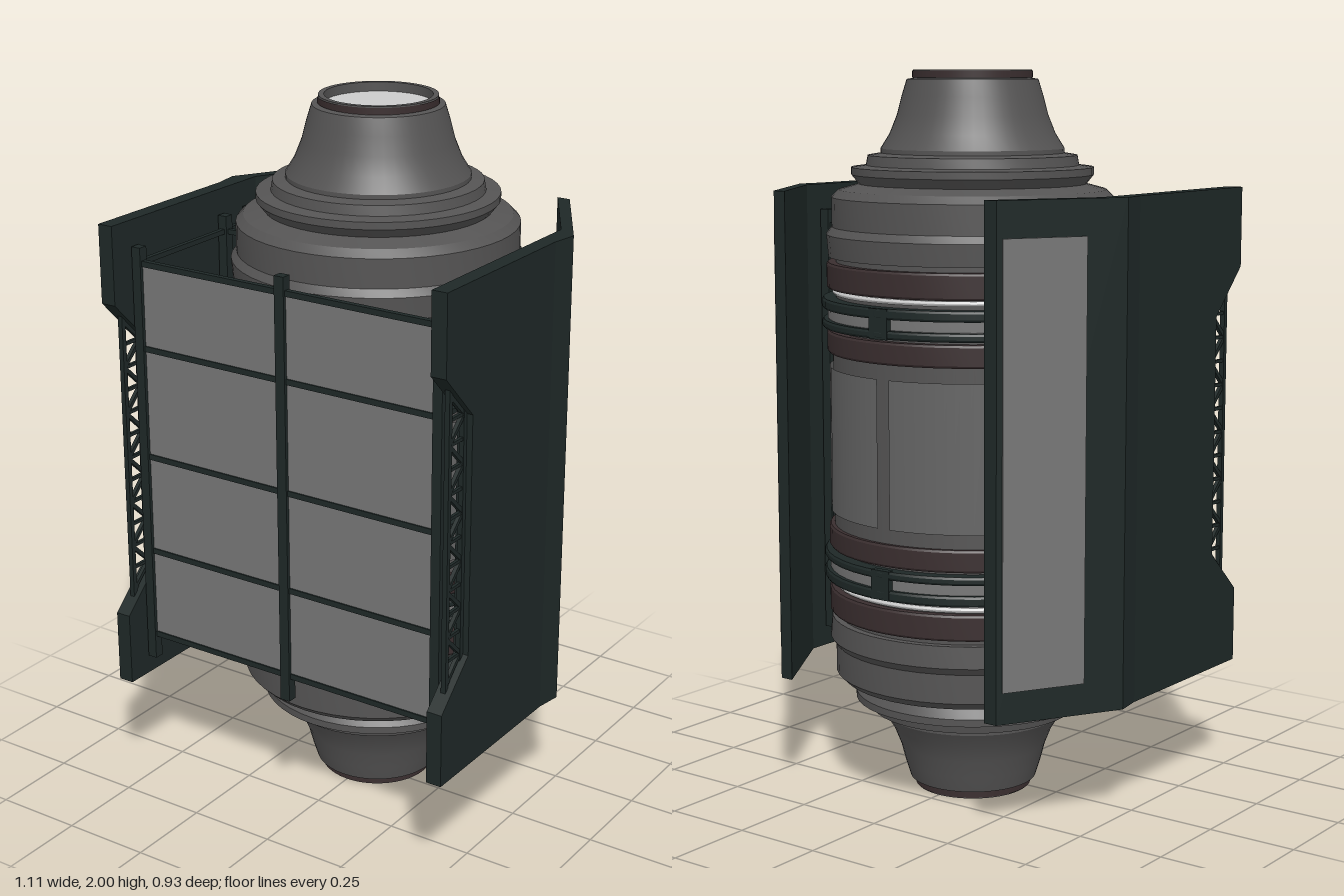
import * as THREE from 'three';
import { toCreasedNormals } from 'three/addons/utils/BufferGeometryUtils.js';

const mat = (color, side = THREE.FrontSide) => new THREE.MeshStandardMaterial({ color, side });
const hull = mat(0x555454), frameMat = mat(0x1e2827), brown = mat(0x3a2e2f);
const grey = mat(0x777777), light = mat(0xcccccc), plating = mat(0x646464, THREE.DoubleSide);
const ZC = -0.055; // axis of the vessel

export function createModel() {
  const root = new THREE.Group();

  const add = (parent, name, geo, material, x = 0, y = 0, z = 0) => {
    const m = new THREE.Mesh(geo, material);
    m.name = name;
    m.position.set(x, y, z);
    parent.add(m);
    return m;
  };
  const box = (parent, name, material, w, h, d, x, y, z) =>
    add(parent, name, new THREE.BoxGeometry(w, h, d), material, x, y, z);
  const lathe = (pts) =>
    toCreasedNormals(new THREE.LatheGeometry(pts.map(p => new THREE.Vector2(...p)), 48), 0.45);
  // Plan outline of [x, z] points raised from y0 to y1
  const plan = (pts, y0, y1) => {
    const s = new THREE.Shape(pts.map(([x, z]) => new THREE.Vector2(x, -z)));
    return new THREE.ExtrudeGeometry(s, { depth: y1 - y0, bevelEnabled: false })
      .rotateX(-Math.PI / 2).translate(0, y0, 0);
  };
  // Square bar between two points
  const bar = (parent, name, a, b, t, material = frameMat) => {
    const A = new THREE.Vector3(...a), B = new THREE.Vector3(...b);
    const m = add(parent, name, new THREE.BoxGeometry(t, t, A.distanceTo(B)), material);
    m.position.copy(A).add(B).multiplyScalar(0.5);
    m.lookAt(B);
    return m;
  };

  // Vessel: upper half profile, mirrored about y = 1
  const vessel = new THREE.Group();
  vessel.name = 'vessel';
  vessel.position.z = ZC;
  root.add(vessel);
  const upper = [
    [0.385, 1.24], [0.375, 1.24], [0.375, 1.5], [0.395, 1.5], [0.4, 1.56], [0.385, 1.58],
    [0.385, 1.66], [0.365, 1.68], [0.31, 1.695], [0.33, 1.72], [0.33, 1.74], [0.29, 1.745],
    [0.285, 1.772], [0.25, 1.778], [0.25, 1.79], [0.225, 1.83], [0.205, 1.88], [0.192, 1.93],
    [0.178, 1.975], [0.16, 1.978], [0.16, 2], [0.145, 2], [0.145, 1.96],
  ];
  const lower = upper.map(([r, y]) => [r, 2 - y]).reverse();
  add(vessel, 'vesselHull', lathe([...lower, ...upper]), hull);

  for (const s of [1, -1]) {
    const end = s > 0 ? 'top' : 'bottom';
    // End disc and lip
    const disc = add(vessel, end + 'EndDisc', new THREE.CircleGeometry(0.146, 48), light, 0, 1 + s * 0.975, 0);
    disc.rotation.x = -s * Math.PI / 2;
    add(vessel, end + 'Lip', new THREE.CylinderGeometry(0.163, 0.163, 0.018, 48, 1, true), brown, 0, 1 + s * 0.988, 0);
    // Bands around the barrel
    const band = (name, material, r, y, h) => add(vessel, end + name,
      lathe([[0.37, -h / 2], [r - 0.004, -h / 2], [r, -h / 2 + 0.006], [r, h / 2 - 0.006], [r - 0.004, h / 2], [0.37, h / 2]]),
      material, 0, 1 + s * y, 0);
    band('OuterBrownBand', brown, 0.4, 0.45, 0.07);
    band('InnerBrownBand', brown, 0.4, 0.27, 0.06);
    band('PaleBand', light, 0.385, 0.405, 0.014);
    band('ClampRingUpper', frameMat, 0.413, 0.375, 0.028);
    band('ClampRingLower', frameMat, 0.413, 0.32, 0.022);
    band('ClampRingCore', grey, 0.398, 0.348, 0.04);
    // Clamp blocks
    for (let i = 0; i < 4; i++) {
      const a = i * Math.PI / 2;
      const b = box(vessel, end + 'ClampBlock', frameMat, 0.06, 0.08, 0.02,
        Math.sin(a) * 0.402, 1 + s * 0.348, Math.cos(a) * 0.402);
      b.rotation.y = a;
    }
  }
  // Curved plates around the middle
  for (let i = 0; i < 8; i++)
    add(vessel, 'barrelPlate', new THREE.CylinderGeometry(0.394, 0.394, 0.4, 8, 1, true,
      i * Math.PI / 4 + 0.05, Math.PI / 4 - 0.1), plating, 0, 1, 0);

  // One side assembly, built on +x and mirrored
  const levels = [0.465, 0.725, 1.01, 1.325, 1.565];
  const buildSide = () => {
    const g = new THREE.Group();
    // Front plate with a notched leading edge
    const outline = [
      [-0.1, 0.33], [0.465, 0.33], [0.465, 0.54], [0.337, 0.66],
      [0.337, 1.33], [0.465, 1.46], [0.465, 1.68], [-0.1, 1.68],
    ];
    const plate = new THREE.ExtrudeGeometry(new THREE.Shape(outline.map(p => new THREE.Vector2(...p))),
      { depth: 0.045, bevelEnabled: false }).rotateY(-Math.PI / 2).translate(0.543, 0, 0);
    add(g, 'sidePlate', plate, frameMat);
    // Rear wing angled inward
    add(g, 'rearWing', plan([[0.543, -0.06], [0.555, -0.135], [0.37, -0.45], [0.332, -0.45],
      [0.498, -0.17], [0.498, -0.06]], 0.33, 1.68), frameMat);
    // Grey panel on the outer face of the wing
    add(g, 'wingPanel', plan([[0.5, -0.237], [0.382, -0.438], [0.372, -0.432], [0.488, -0.233]], 0.415, 1.585), grey);
    // Lattice in the notch
    for (const z of [0.345, 0.415]) bar(g, 'latticeRail', [0.52, 0.55, z], [0.52, 1.45, z], 0.014);
    const n = 12, y0 = 0.6, step = 0.8 / n;
    for (let i = 0; i < n; i++) {
      const y = y0 + i * step, f = i % 2;
      bar(g, 'latticeBrace', [0.52, y, f ? 0.345 : 0.415], [0.52, y + step, f ? 0.415 : 0.345], 0.011);
      bar(g, 'latticeRung', [0.52, y, 0.345], [0.52, y, 0.415], 0.009);
    }
    // Scaffold posts and rails
    const posts = [[0.476, 0.383], [0.476, 0.005], [0.476, -0.108], [0.407, 0.005], [0.407, -0.108]];
    for (const [x, z] of posts) box(g, 'scaffoldPost', frameMat, 0.028, 1.22, 0.028, x, 1, z);
    for (const y of levels) {
      bar(g, 'sideRail', [0.476, y, 0.383], [0.476, y, -0.108], 0.014);
      bar(g, 'crossRail', [0.476, y, 0.005], [0.407, y, 0.005], 0.014);
      bar(g, 'crossRail', [0.476, y, -0.108], [0.407, y, -0.108], 0.014);
    }
    // Brackets that tie the plate to the clamp rings
    for (const y of [0.652, 1.348]) box(g, 'bracket', frameMat, 0.13, 0.09, 0.1, 0.445, y, ZC);
    return g;
  };
  for (const s of [1, -1]) {
    const side = buildSide();
    side.name = s > 0 ? 'leftSide' : 'rightSide';
    side.scale.x = s;
    root.add(side);
  }

  // Front screen: grey sheet, centre post and rails
  const screen = new THREE.Group();
  screen.name = 'frontScreen';
  root.add(screen);
  box(screen, 'screenSheet', grey, 0.93, 1.1, 0.008, 0, 1.015, 0.383);
  box(screen, 'centrePost', frameMat, 0.03, 1.22, 0.028, -0.006, 1, 0.383);
  for (const y of levels) bar(screen, 'screenRail', [-0.476, y, 0.383], [0.476, y, 0.383], 0.016);

  return root;
}
